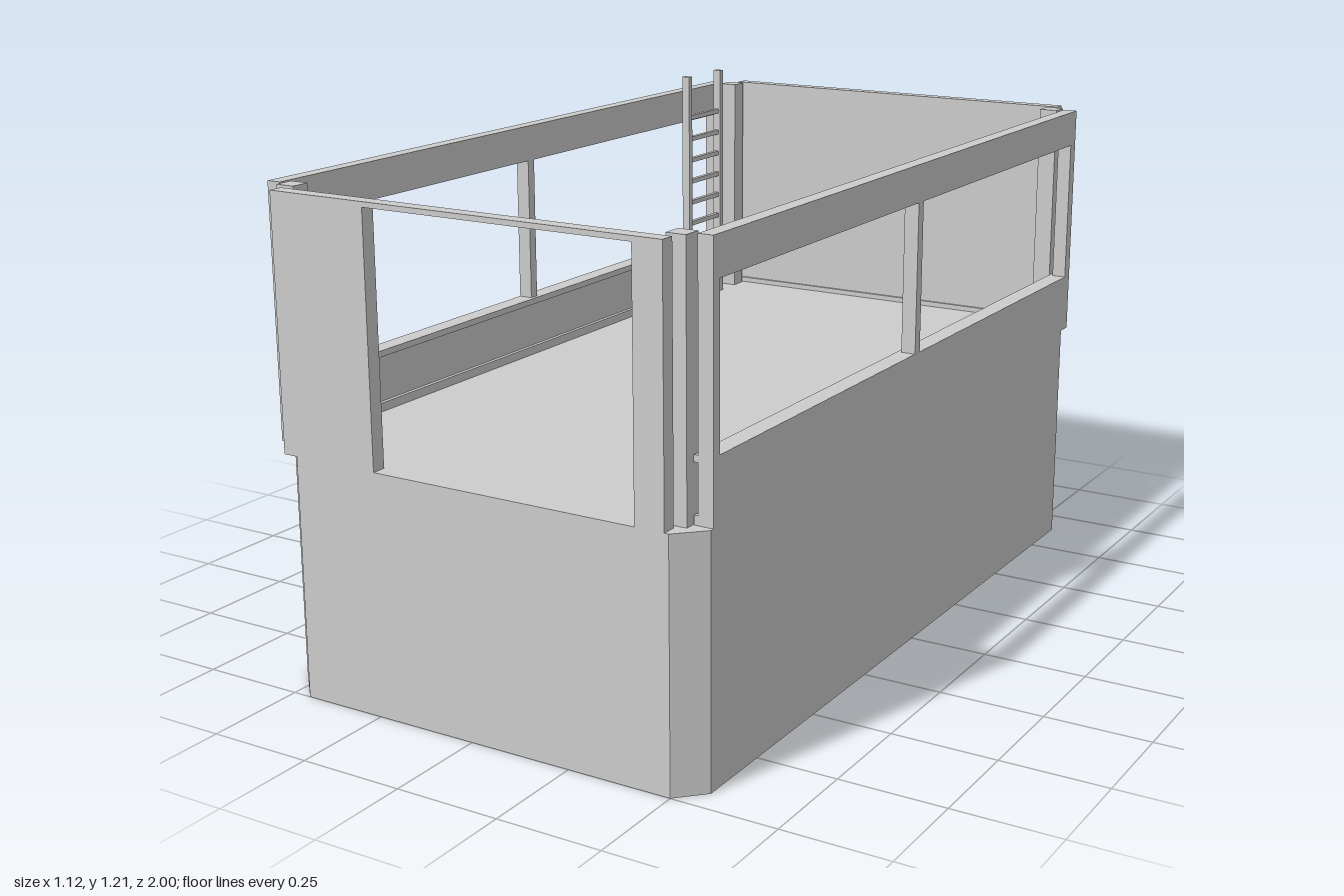
import * as THREE from 'three';

const FLOOR = 0.567, TOP = 1.155;

export function createModel() {
  const group = new THREE.Group();
  const grey = new THREE.MeshStandardMaterial({ color: 0xcccccc });
  grey.name = 'plainGrey';

  const add = (name, geometry, parent = group) => {
    const mesh = new THREE.Mesh(geometry, grey);
    mesh.name = name;
    parent.add(mesh);
    return mesh;
  };
  // Box given by its limits on each axis
  const box = (name, x0, x1, y0, y1, z0, z1, parent) => {
    const geometry = new THREE.BoxGeometry(x1 - x0, y1 - y0, z1 - z0);
    geometry.translate((x0 + x1) / 2, (y0 + y1) / 2, (z0 + z1) / 2);
    return add(name, geometry, parent);
  };
  const outline = (points) => new THREE.Shape(points.map(([x, y]) => new THREE.Vector2(x, y)));
  const rect = (x0, x1, y0, y1) => [[x0, y0], [x1, y0], [x1, y1], [x0, y1]];
  const extrude = (shape, depth) => new THREE.ExtrudeGeometry(shape, { depth, bevelEnabled: false });

  // Solid base with two small and two deep cut corners, drawn as (x, -z)
  const base = extrude(outline([
    [-0.455, -1], [0.5, -1], [0.56, -0.94], [0.56, 0.89],
    [0.455, 1], [-0.5, 1], [-0.56, 0.94], [-0.56, -0.89],
  ]), FLOOR);
  base.rotateX(-Math.PI / 2);
  add('base', base);

  // Side walls with two long windows, drawn as (-z, y)
  const sideShape = outline(rect(-0.93, 0.93, FLOOR, TOP));
  for (const [a, b] of [[-0.905, -0.025], [0, 0.9]]) {
    sideShape.holes.push(outline(rect(a, b, 0.713, 1.067)));
  }
  for (const [label, x] of [['left', 0.525], ['right', -0.56]]) {
    const wall = extrude(sideShape, 0.035);
    wall.rotateY(Math.PI / 2);
    wall.translate(x, 0, 0);
    add(label + 'Wall', wall);

    // Ledges along the inner face
    const inner = label === 'left' ? 0.515 : -0.525;
    box(label + 'Sill', inner, inner + 0.01, 0.698, 0.713, -0.93, 0.93);
    box(label + 'Skirting', inner, inner + 0.01, FLOOR, 0.588, -0.93, 0.93);
  }

  // Front wall with a large opening down to the floor
  const frontWall = extrude(outline([
    [-0.49, FLOOR], [-0.24, FLOOR], [-0.24, 1.14], [0.42, 1.14],
    [0.42, FLOOR], [0.49, FLOOR], [0.49, 1.152], [-0.49, 1.152],
  ]), 0.035);
  frontWall.translate(0, 0, 0.965);
  add('frontWall', frontWall);

  // Closed back wall
  box('backWall', -0.49, 0.49, FLOOR, TOP, -1, -0.967);
  box('backSkirting', -0.49, 0.49, FLOOR, 0.58, -0.967, -0.96);

  // Corner posts
  for (const x of [-0.49, 0.49]) {
    for (const z of [-0.93, 0.93]) {
      box('cornerPost', x - 0.023, x + 0.023, FLOOR, TOP, z - 0.023, z + 0.023);
    }
  }

  // Ladder beside the right wall
  const ladder = new THREE.Group();
  ladder.name = 'ladder';
  group.add(ladder);
  for (const z of [-0.829, -0.661]) {
    box('ladderRail', -0.487, -0.465, FLOOR, 1.205, z - 0.008, z + 0.008, ladder);
  }
  for (let i = 0; i < 9; i++) {
    const y = 0.61 + i * 0.06;
    box('ladderRung', -0.482, -0.47, y - 0.006, y + 0.006, -0.822, -0.668, ladder);
  }

  return group;
}
